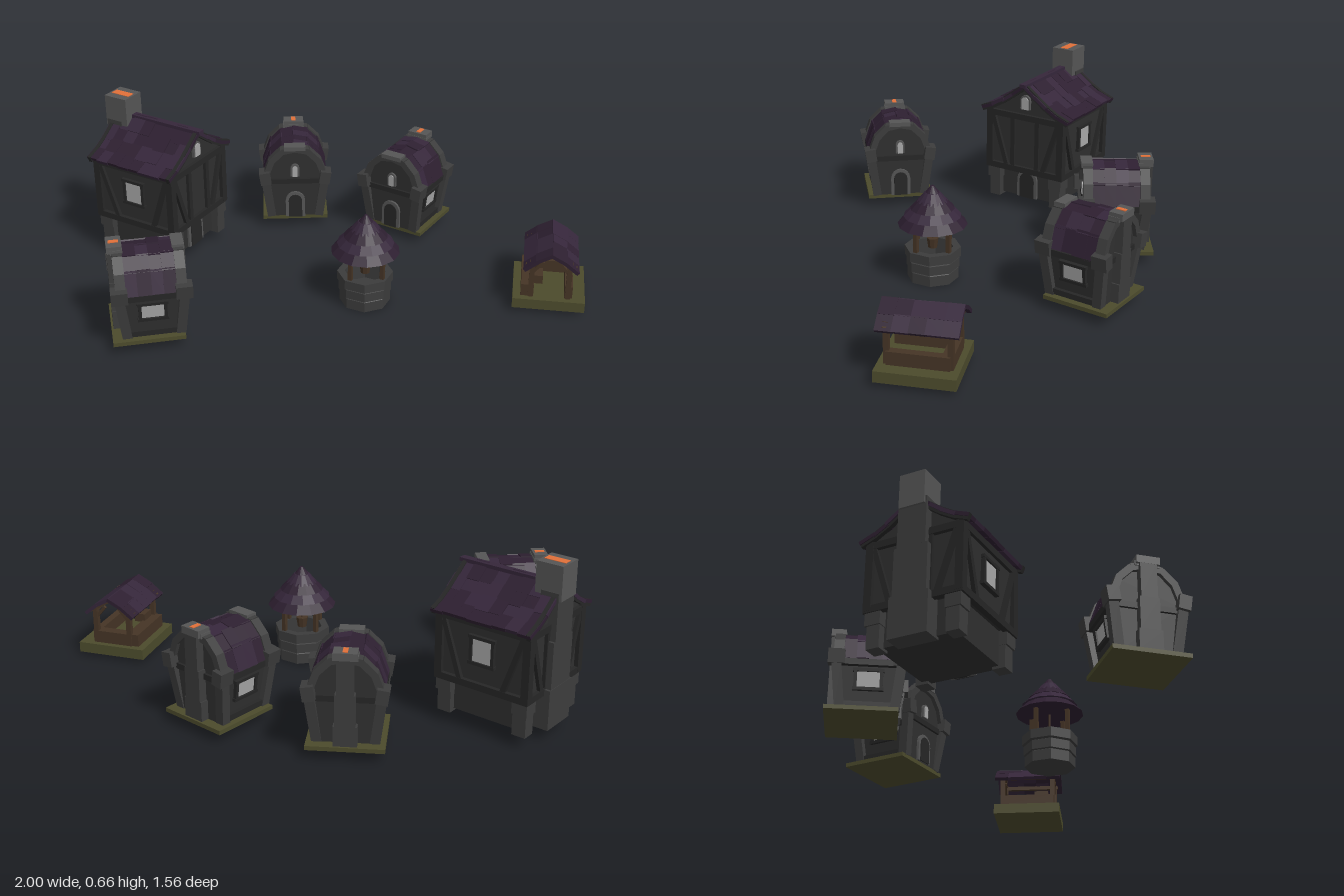
import * as THREE from 'three';
import { mergeGeometries } from 'three/addons/utils/BufferGeometryUtils.js';

const mat = (color) => new THREE.MeshStandardMaterial({ color, flatShading: true, side: THREE.DoubleSide });
const M = {
  wall: mat(0x2f2f2f), timber: mat(0x262626), stone: mat(0x3c3c3c), pale: mat(0x555555), glass: mat(0xa8a8a8),
  roofA: mat(0x2d1f30), roofB: mat(0x35263a), grass: mat(0x4c4b2c), wood: mat(0x453425), glow: mat(0xe0703a),
};

let seed = 7;
const rnd = () => (seed = (seed * 16807) % 2147483647) / 2147483647;

function add(parent, name, geo, material, x = 0, y = 0, z = 0) {
  const m = new THREE.Mesh(geo, material);
  m.name = name;
  m.position.set(x, y, z);
  parent.add(m);
  return m;
}
const box = (p, name, m, w, h, d, x, y, z) => add(p, name, new THREE.BoxGeometry(w, h, d), m, x, y, z);

// Straight beam between two points
function beam(p, name, m, a, b, w, d = w) {
  const A = new THREE.Vector3(...a), B = new THREE.Vector3(...b), dir = B.clone().sub(A);
  const o = box(p, name, m, w, dir.length(), d, 0, 0, 0);
  o.position.copy(A).add(B).multiplyScalar(0.5);
  o.quaternion.setFromUnitVectors(new THREE.Vector3(0, 1, 0), dir.normalize());
  return o;
}

// Slabs laid along a roof profile on both sides of a ridge running along z
function slabs(p, name, mats, profile, length, cols, t, z = 0, jitter = 1) {
  const sets = mats.map(() => []);
  for (const s of [1, -1]) for (let i = 0; i < profile.length - 1; i++) for (let c = 0; c < cols; c++) {
    const [x0, y0] = profile[i], [x1, y1] = profile[i + 1];
    const L = Math.hypot(x1 - x0, y1 - y0), w = length / cols;
    const g = new THREE.BoxGeometry(L * (1.08 + 0.15 * jitter * rnd()), t, w * (1 + 0.12 * jitter * rnd()));
    g.rotateZ(Math.atan2(y1 - y0, s * (x1 - x0)));
    g.translate(s * (x0 + x1) / 2, (y0 + y1) / 2 + jitter * t * 0.5 * rnd(), z - length / 2 + w * (c + 0.5));
    sets[Math.floor(rnd() * mats.length)].push(g);
  }
  sets.forEach((g, i) => g.length && add(p, name, mergeGeometries(g), mats[i]));
}

// Solid with a mirrored outline in x and y, running along z
function prism(p, name, m, half, depth, z = 0) {
  const pts = [...half, ...half.slice().reverse().map(([x, y]) => [-x, y])].map(([x, y]) => new THREE.Vector2(x, y));
  const g = new THREE.ExtrudeGeometry(new THREE.Shape(pts), { depth, bevelEnabled: false });
  return add(p, name, g, m, 0, 0, z - depth / 2);
}

// Arched panel (door or small window) with a frame, facing +z
function arch(p, name, m, w, h, x, y, z, frame) {
  const panel = (r, H, d, material, n) => {
    const s = new THREE.Shape();
    s.moveTo(-r, 0); s.lineTo(r, 0); s.lineTo(r, H - r);
    s.absarc(0, H - r, r, 0, Math.PI, false);
    add(p, n, new THREE.ExtrudeGeometry(s, { depth: d, bevelEnabled: false, curveSegments: 4 }), material, x, y, z);
  };
  panel(w / 2 + frame, h + frame, 0.01, M.pale, name + 'Frame');
  panel(w / 2, h, 0.014, m, name);
}

// Framed rectangular window on a side wall
function sideWindow(p, s, x, y, w, h, tilt) {
  const g = new THREE.Group();
  g.name = 'sideWindow';
  box(g, 'pane', M.glass, 0.012, h, w, 0, 0, 0);
  for (const k of [1, -1]) {
    box(g, 'frameRail', M.timber, 0.026, 0.012, w + 0.03, 0, k * (h / 2 + 0.005), 0);
    box(g, 'frameStile', M.timber, 0.024, h, 0.012, 0, 0, k * (w / 2 + 0.005));
  }
  g.position.set(s * x, y, 0);
  g.rotation.z = -s * tilt;
  p.add(g);
}

function cottage() {
  const g = new THREE.Group();
  g.name = 'cottage';
  const roof = [[0, 0.378], [0.055, 0.367], [0.1, 0.322], [0.128, 0.245]];
  box(g, 'groundPlate', M.grass, 0.28, 0.016, 0.27, 0, 0.047, -0.02);
  prism(g, 'body', M.wall, [[0.1, 0.055], [0.122, 0.245], [0.096, 0.32], [0.05, 0.364]], 0.23);
  slabs(g, 'roofShingles', [M.roofA, M.roofA, M.roofB], roof, 0.19, 4, 0.012);
  for (const e of [1, -1]) {
    // Stone gable arch, corner posts and shoulder blocks
    slabs(g, 'gableArch', [M.stone], roof, 0.038, 1, 0.026, e * 0.112, 0);
    box(g, 'gableCap', M.pale, 0.09, 0.018, 0.046, 0, 0.383, e * 0.113);
    box(g, 'gableTie', M.timber, 0.25, 0.022, 0.02, 0, 0.225, e * 0.115);
    for (const s of [1, -1]) {
      beam(g, 'cornerPost', M.stone, [s * 0.102, 0.055, e * 0.1], [s * 0.126, 0.235, e * 0.12], 0.036);
      box(g, 'shoulderBlock', M.stone, 0.045, 0.055, 0.062, s * 0.128, 0.249, e * 0.119).rotation.z = -s * 0.15;
    }
  }
  for (const s of [1, -1]) {
    sideWindow(g, s, 0.115, 0.168, 0.085, 0.062, 0.12);
    box(g, 'eaveBeam', M.timber, 0.025, 0.024, 0.2, s * 0.124, 0.232, 0);
    beam(g, 'sill', M.timber, [s * 0.108, 0.07, -0.1], [s * 0.108, 0.07, 0.1], 0.022);
  }
  arch(g, 'door', M.timber, 0.058, 0.105, 0, 0.055, 0.115, 0.013);
  arch(g, 'gableWindow', M.glass, 0.022, 0.05, 0, 0.248, 0.115, 0.008);
  // Chimney on the back wall
  const steps = [[0.085, 0.055, 0.13], [0.072, 0.13, 0.25], [0.06, 0.25, 0.385]];
  for (const [w, a, b] of steps) box(g, 'chimneyStack', M.stone, w, b - a, 0.045, 0, (a + b) / 2, -0.125);
  box(g, 'chimneyTop', M.pale, 0.085, 0.028, 0.056, 0, 0.393, -0.12);
  box(g, 'chimneyGlow', M.glow, 0.018, 0.004, 0.038, 0, 0.408, -0.12);
  return g;
}

function townHouse() {
  const g = new THREE.Group();
  g.name = 'townHouse';
  const roof = [[0, 0.57], [0.055, 0.528], [0.105, 0.492], [0.155, 0.463], [0.207, 0.443]];
  // Stone ground floor with corner piers
  box(g, 'groundFloor', M.wall, 0.3, 0.14, 0.31, 0, 0.125, 0);
  for (const s of [1, -1]) for (const e of [1, -1]) {
    box(g, 'pier', M.stone, 0.05, 0.085, 0.055, s * 0.15, 0.0875, e * 0.158);
    box(g, 'pierTop', M.stone, 0.06, 0.06, 0.062, s * 0.152, 0.16, e * 0.16);
  }
  // Timber-framed upper floor and gable
  prism(g, 'upperFloor', M.wall, [[0.172, 0.185], [0.178, 0.45], [0.1, 0.485], [0.05, 0.525], [0, 0.56]], 0.36);
  for (const y of [0.19, 0.43]) for (const s of [1, -1]) {
    box(g, 'sideRail', M.timber, 0.022, 0.026, 0.39, s * 0.178, y, 0);
    box(g, 'gableRail', M.timber, 0.37, 0.026, 0.022, 0, y, s * 0.184);
  }
  for (const s of [1, -1]) {
    for (const e of [1, -1]) {
      box(g, 'cornerTimber', M.timber, 0.03, 0.26, 0.03, s * 0.174, 0.315, e * 0.181);
      beam(g, 'sideBrace', M.timber, [s * 0.178, 0.2, e * 0.09], [s * 0.178, 0.42, e * 0.165], 0.02);
      beam(g, 'gableBrace', M.timber, [s * 0.09, 0.2, e * 0.184], [s * 0.16, 0.42, e * 0.184], 0.02);
      box(g, 'gableStud', M.timber, 0.02, 0.24, 0.018, s * 0.06, 0.31, e * 0.184);
    }
    slabs(g, 'bargeBoard', [M.timber], roof, 0.016, 1, 0.026, s * 0.195, 0);
    sideWindow(g, s, 0.178, 0.328, 0.08, 0.09, 0);
  }
  slabs(g, 'roofShingles', [M.roofA, M.roofA, M.roofB], roof, 0.41, 8, 0.014);
  box(g, 'ridge', M.roofB, 0.03, 0.014, 0.425, 0, 0.576, 0.005);
  arch(g, 'gableWindow', M.glass, 0.032, 0.055, 0, 0.467, 0.182, 0.008);
  arch(g, 'door', M.timber, 0.07, 0.115, 0, 0.055, 0.154, 0.014);
  // Chimney running the full height of the back gable
  const stack = [[0.15, 0.075, 0.045, 0.2], [0.13, 0.07, 0.2, 0.38], [0.11, 0.07, 0.38, 0.56]];
  for (const [w, d, a, b] of stack) box(g, 'chimneyStack', M.stone, w, b - a, d, 0, (a + b) / 2, -0.18);
  box(g, 'chimneyTop', M.pale, 0.1, 0.13, 0.105, 0, 0.595, -0.171);
  box(g, 'chimneyGlow', M.glow, 0.034, 0.004, 0.085, 0, 0.66, -0.171);
  return g;
}

function well() {
  const g = new THREE.Group();
  g.name = 'well';
  // Octagonal basin with stepped courses and a hollow centre
  const profile = [[0, 0], [0.1, 0], [0.1, 0.042], [0.096, 0.045], [0.104, 0.048], [0.104, 0.085], [0.098, 0.088],
    [0.11, 0.092], [0.11, 0.13], [0.08, 0.13], [0.08, 0.05], [0, 0.05]].map(([x, y]) => new THREE.Vector2(x, y));
  add(g, 'basin', new THREE.LatheGeometry(profile, 8), M.stone).rotation.y = Math.PI / 8;
  for (let i = 0; i < 4; i++) {
    const a = 0.3 + i * Math.PI / 2, c = Math.cos(a) * 0.088, s = Math.sin(a) * 0.088;
    beam(g, 'post', M.wood, [c, 0.12, s], [c, 0.27, s], 0.016);
  }
  // Tiered conical roof
  const rings = [[0.135, 0.225], [0.112, 0.26], [0.086, 0.29], [0.06, 0.318], [0.034, 0.345]];
  rings.forEach(([r, y], i) => {
    const h = 0.036, top = i < 4 ? rings[i + 1][0] * 0.88 : 0.006;
    add(g, 'roofTier', new THREE.CylinderGeometry(top, r, h, 14), i % 2 ? M.roofB : M.roofA, 0, y + h / 2, 0).rotation.y = i * 0.2;
  });
  add(g, 'rope', new THREE.CylinderGeometry(0.004, 0.004, 0.1, 5), M.wood, 0, 0.19, 0);
  add(g, 'bucket', new THREE.CylinderGeometry(0.024, 0.018, 0.04, 8), M.wood, 0, 0.145, 0);
  return g;
}

function stall() {
  const g = new THREE.Group();
  g.name = 'marketStall';
  box(g, 'platform', M.grass, 0.28, 0.042, 0.285, 0, 0.038, 0);
  for (const s of [1, -1]) {
    for (const e of [1, -1]) {
      box(g, 'post', M.wood, 0.02, 0.16, 0.02, s * 0.072, 0.135, e * 0.11);
      beam(g, 'rafter', M.wood, [s * 0.095, 0.195, e * 0.11], [0, 0.25, e * 0.11], 0.015);
      beam(g, 'brace', M.wood, [s * 0.072, 0.165, e * 0.11], [s * 0.03, 0.215, e * 0.11], 0.012);
    }
    box(g, 'plate', M.wood, 0.016, 0.016, 0.25, s * 0.072, 0.203, 0);
  }
  // Counter around three sides
  box(g, 'backCounter', M.wood, 0.05, 0.05, 0.23, -0.085, 0.084, 0);
  box(g, 'frontCounter', M.wood, 0.03, 0.05, 0.22, 0.075, 0.084, 0);
  box(g, 'endCounter', M.wood, 0.15, 0.05, 0.04, 0, 0.084, -0.1);
  box(g, 'crate', M.wood, 0.045, 0.035, 0.06, -0.05, 0.12, 0.06);
  slabs(g, 'roofBoards', [M.roofA, M.roofB], [[0, 0.256], [0.055, 0.226], [0.1, 0.19]], 0.285, 5, 0.014, 0, 0.4);
  return g;
}

export function createModel() {
  const village = new THREE.Group();
  village.name = 'village';
  const place = (o, x, z, turn) => {
    o.position.set(x, 0, z);
    o.rotation.y = turn;
    village.add(o);
  };
  place(townHouse(), -0.773, -0.024, Math.PI / 2 - 0.096);
  place(cottage(), -0.476, 0.567, 2.214);
  place(cottage(), -0.39, -0.497, 0.48);
  place(cottage(), 0.09, -0.604, -0.13);
  place(well(), 0.171, 0.02, 0);
  place(stall(), 0.823, -0.316, 0.28);
  return village;
}
